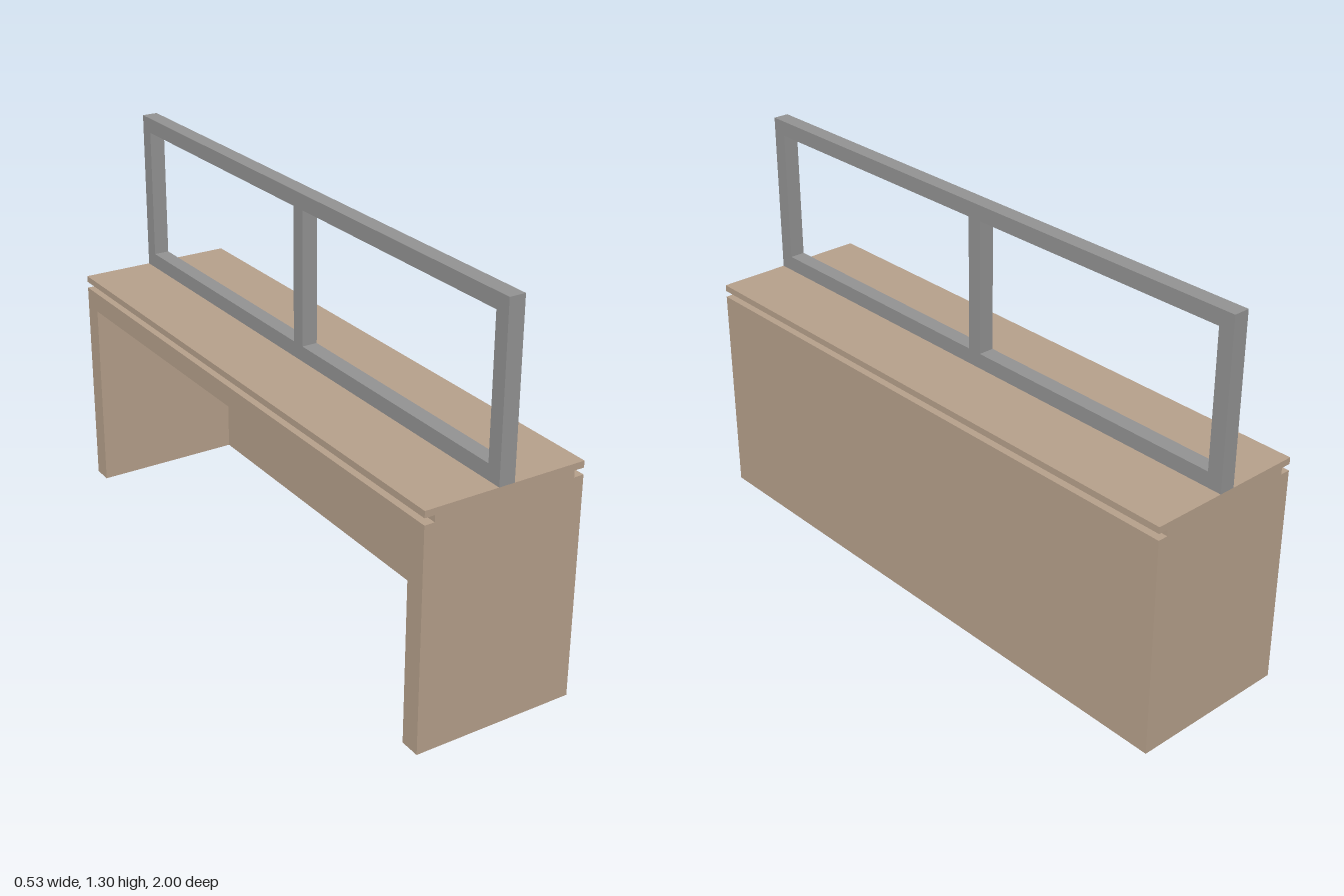
import * as THREE from 'three';

const LENGTH = 2, WIDTH = 0.534;
const BODY_H = 0.721, WALL = 0.067, SLAB = 0.0213;
const FRAME_H = 0.538, BAR = 0.05;

export function createModel() {
  const model = new THREE.Group();
  model.name = 'deskWithFrame';

  const wood = new THREE.MeshStandardMaterial({ color: 0xb59f8a });
  wood.name = 'light wood';
  const metal = new THREE.MeshStandardMaterial({ color: 0x929292 });
  metal.name = 'grey metal';

  const add = (name, geometry, material, x, y, z) => {
    const mesh = new THREE.Mesh(geometry, material);
    mesh.name = name;
    mesh.position.set(x, y, z);
    model.add(mesh);
    return mesh;
  };

  const rectangle = (Type, x0, y0, x1, y1) => {
    const p = new Type();
    p.moveTo(x0, y0);
    p.lineTo(x1, y0);
    p.lineTo(x1, y1);
    p.lineTo(x0, y1);
    p.closePath();
    return p;
  };

  // Profiles drawn in the z-y plane, extruded across x and centred
  const extrudeAcross = (shape, depth) =>
    new THREE.ExtrudeGeometry(shape, { depth, bevelEnabled: false })
      .translate(0, 0, -depth / 2)
      .rotateY(Math.PI / 2);

  // Two legs and the lower top as one arch
  const half = LENGTH / 2, inner = half - WALL;
  const arch = new THREE.Shape();
  arch.moveTo(-half, 0);
  arch.lineTo(-inner, 0);
  arch.lineTo(-inner, BODY_H - WALL);
  arch.lineTo(inner, BODY_H - WALL);
  arch.lineTo(inner, 0);
  arch.lineTo(half, 0);
  arch.lineTo(half, BODY_H);
  arch.lineTo(-half, BODY_H);
  arch.closePath();
  add('deskBody', extrudeAcross(arch, WIDTH - SLAB), wood, -SLAB / 2, 0, 0);

  // Full-height panel closing the left side
  add('modestyPanel', new THREE.BoxGeometry(SLAB, BODY_H, LENGTH), wood,
    WIDTH / 2 - SLAB / 2, BODY_H / 2, 0);

  // Recessed spacer and upper top
  add('spacer', new THREE.BoxGeometry(0.468, SLAB, LENGTH), wood, 0, BODY_H + SLAB / 2, 0);
  add('upperTop', new THREE.BoxGeometry(WIDTH, SLAB, LENGTH), wood, 0, BODY_H + SLAB * 1.5, 0);

  // Upright frame with two openings
  const frame = rectangle(THREE.Shape, -half, 0, half, FRAME_H);
  for (const side of [-1, 1]) {
    const a = side * BAR / 2, b = side * (half - BAR);
    frame.holes.push(rectangle(THREE.Path, Math.min(a, b), BAR, Math.max(a, b), FRAME_H - BAR));
  }
  add('uprightFrame', extrudeAcross(frame, 0.052), metal, 0, BODY_H + SLAB * 2, 0);

  return model;
}
